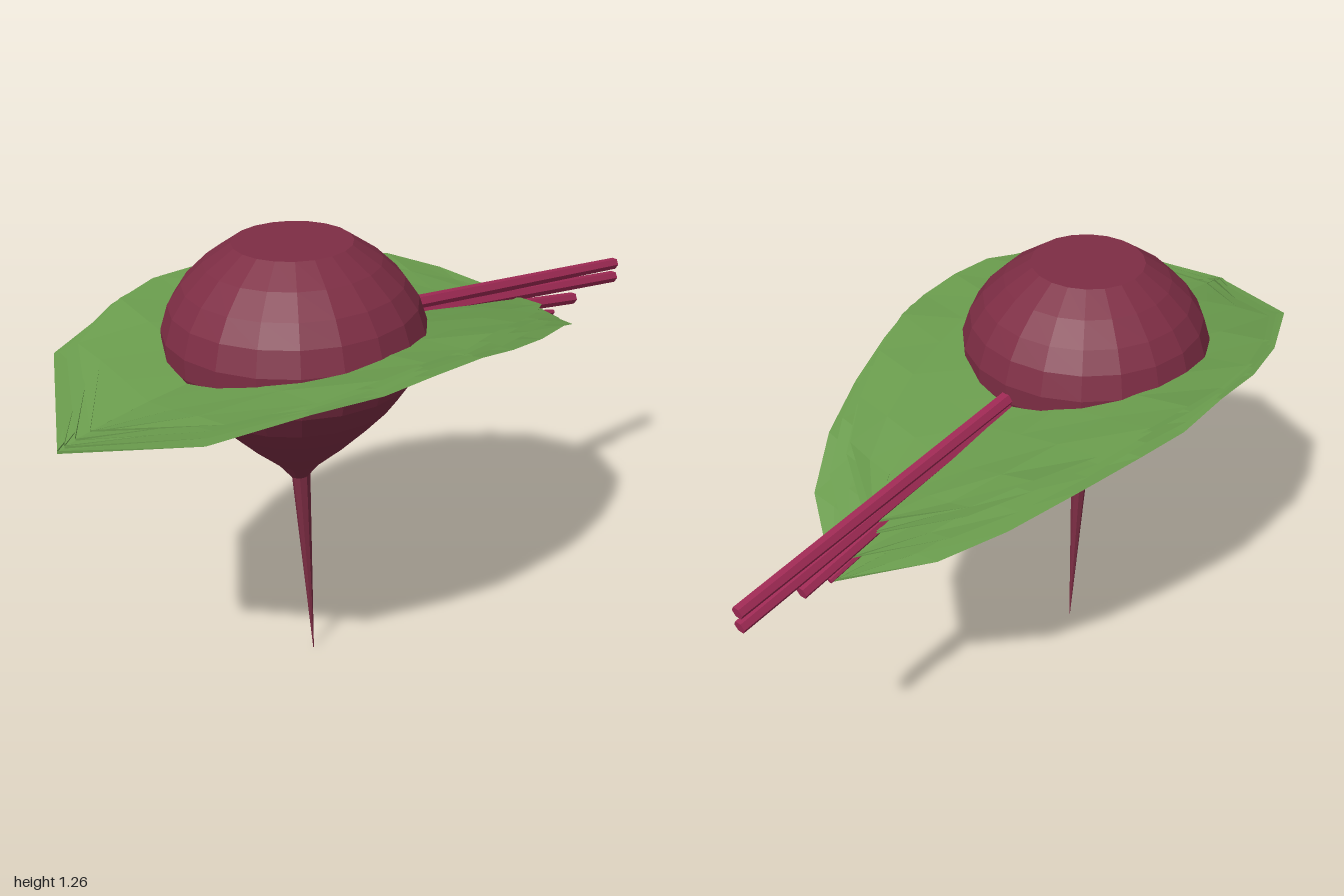
import * as THREE from 'three';

const CX = -0.295; // bulb axis

function mat(name, color, side = THREE.FrontSide) {
  const m = new THREE.MeshStandardMaterial({ color, flatShading: true, side });
  m.name = name;
  return m;
}

// Straight tapered rod between two points
function rod(name, a, b, ra, rb, sides, material) {
  const dir = b.clone().sub(a);
  const mesh = new THREE.Mesh(new THREE.CylinderGeometry(rb, ra, dir.length(), sides), material);
  mesh.position.copy(a).add(b).multiplyScalar(0.5);
  mesh.quaternion.setFromUnitVectors(new THREE.Vector3(0, 1, 0), dir.normalize());
  mesh.name = name;
  return mesh;
}

// Leaf stations: x, half width, midrib height, rise at the edge
const STATIONS = [
  [-1, 0, 0.915, 0], [-0.81, 0.33, 0.94, 0.055], [-0.59, 0.43, 0.96, 0.07], [-0.41, 0.475, 0.965, 0.08],
  [-0.25, 0.48, 0.963, 0.085], [-0.09, 0.475, 0.952, 0.085], [0.05, 0.445, 0.932, 0.085],
  [0.22, 0.39, 0.898, 0.08], [0.4, 0.31, 0.858, 0.075], [0.55, 0.215, 0.827, 0.05], [0.7, 0, 0.795, 0],
];

// Arched, V-folded blade lofted through the stations
function leafGeometry(x0, x1, width, lift, tilt, phase) {
  const pos = [], index = [], n = 6;
  STATIONS.forEach(([sx, w, mid, rise], i) => {
    const x = x0 + (sx + 1) / 1.7 * (x1 - x0);
    for (let j = 0; j <= n; j++) {
      const t = j / (n / 2) - 1;
      const ripple = 0.006 * Math.sin(i * 2.1 + j * 1.7 + phase) * Math.abs(t);
      pos.push(x, mid + rise * Math.abs(t) + lift + tilt * Math.max(0, x + 0.3) + ripple, t * w * width);
      if (i > 0 && j > 0) {
        const c = i * (n + 1) + j, b = c - n - 1;
        index.push(b - 1, b, c, b - 1, c, c - 1);
      }
    }
  });
  const g = new THREE.BufferGeometry();
  g.setAttribute('position', new THREE.Float32BufferAttribute(pos, 3));
  g.setIndex(index);
  g.computeVertexNormals();
  return g;
}

export function createModel() {
  const group = new THREE.Group();
  const skin = mat('beet skin', 0x7d2d44);
  const green = mat('leaf green', 0x6a9c4d, THREE.DoubleSide);
  const stalk = mat('stalk magenta', 0xa02a55);

  // Bulb with a flat cut top
  const profile = [
    [0.026, 0.6], [0.062, 0.645], [0.135, 0.71], [0.21, 0.785], [0.27, 0.85], [0.317, 0.92], [0.342, 0.985],
    [0.343, 1.04], [0.322, 1.105], [0.285, 1.16], [0.228, 1.215], [0.155, 1.265], [0, 1.265],
  ].map(([r, y]) => new THREE.Vector2(r, y));
  const bulb = new THREE.Mesh(new THREE.LatheGeometry(profile, 20), skin);
  bulb.position.x = CX;
  bulb.name = 'bulb';
  group.add(bulb);

  // Thin root leaning towards its tip
  group.add(rod('taproot', new THREE.Vector3(-0.29, 0.61, 0), new THREE.Vector3(-0.262, 0.01, 0), 0.026, 0.001, 8, skin));

  // Stacked leaves: start x, end x, width, lift, tilt
  [
    [-1, 0.7, 1, 0, 0], [-0.98, 0.64, 0.98, 0.009, 0.03],
    [-0.95, 0.57, 0.97, 0.017, 0.06], [-0.91, 0.55, 0.96, 0.024, 0.085],
  ].forEach(([x0, x1, width, lift, tilt], i) => {
    const leaf = new THREE.Mesh(leafGeometry(x0, x1, width, lift, tilt, i), green);
    leaf.name = 'leaf' + (i + 1);
    group.add(leaf);
  });

  // Stalks fanning out in one plane: start y, end x, end y
  [
    [0.945, 0.71, 0.802], [0.955, 0.8, 0.824], [0.975, 0.99, 0.848], [1.0, 0.99, 0.892],
  ].forEach(([y0, x1, y1], i) => {
    group.add(rod('stalk' + (i + 1), new THREE.Vector3(0, y0, 0), new THREE.Vector3(x1, y1, 0), 0.021, i ? 0.018 : 0.008, 6, stalk));
  });

  return group;
}
